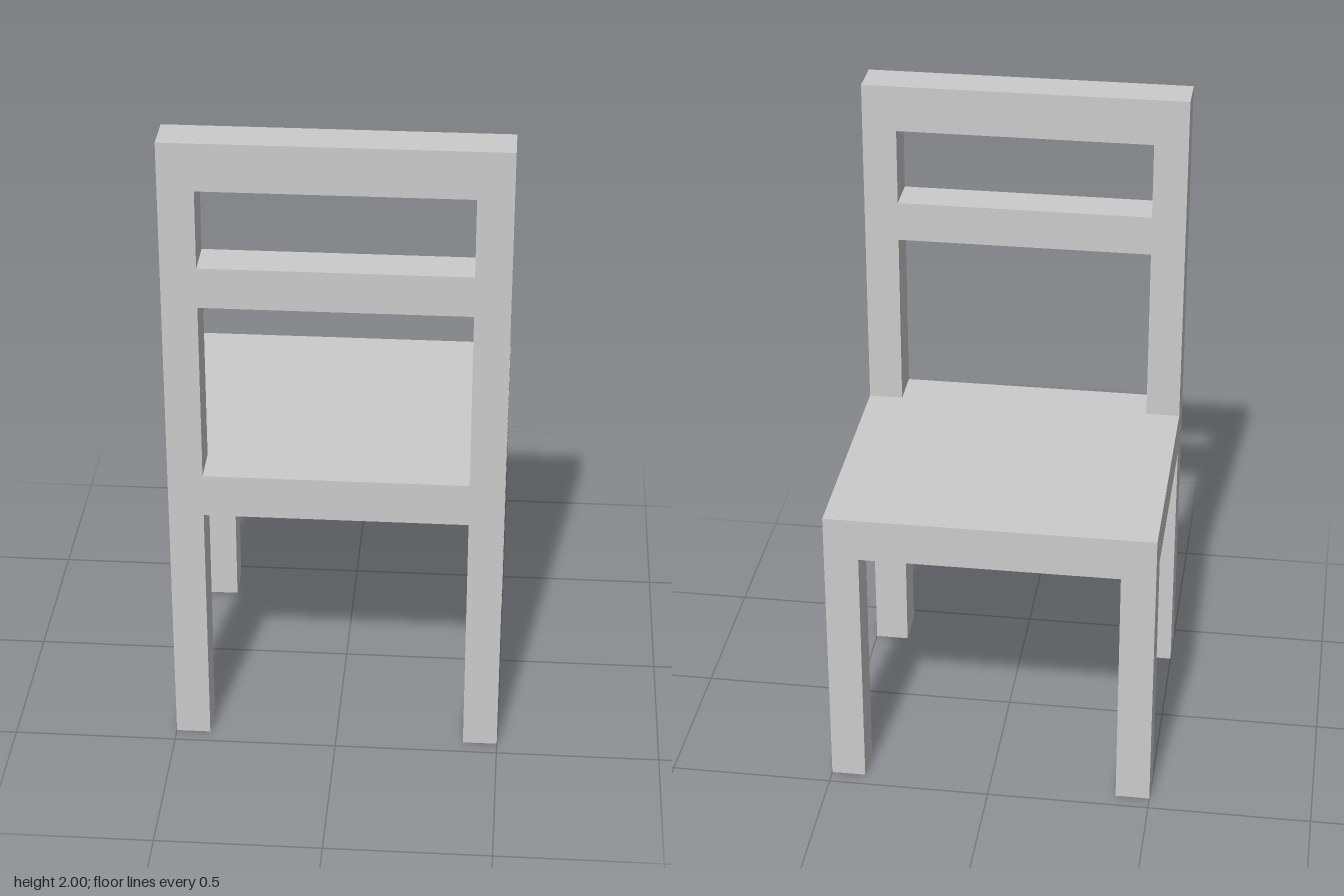
import * as THREE from 'three';

// Main dimensions
const W = 0.5, D = 0.453;             // half width, half depth
const INNER = 0.395;                  // inner x of legs and posts
const Z_BACK = 0.325, Z_FRONT = -0.335; // inner z of the leg pairs
const SEAT = 0.93, APRON = 0.795, TOP = 2;

const material = new THREE.MeshStandardMaterial({
  color: 0xcccccc, flatShading: true, side: THREE.DoubleSide,
});

function addPart(parent, name, geometry) {
  const mesh = new THREE.Mesh(geometry, material);
  mesh.name = name;
  parent.add(mesh);
  return mesh;
}

// Hollow square leg, open at the floor and under the seat
function legGeometry(x0, x1, z0, z1) {
  const g = new THREE.BoxGeometry(x1 - x0, SEAT, z1 - z0);
  const index = Array.from(g.index.array);
  index.splice(12, 12); // drop top and bottom faces
  g.setIndex(index);
  g.clearGroups();
  return g.translate((x0 + x1) / 2, SEAT / 2, (z0 + z1) / 2);
}

// Closed rectangle in the xy plane
function rectangle(Type, x0, y0, x1, y1) {
  return new Type([[x0, y0], [x1, y0], [x1, y1], [x0, y1]].map(([x, y]) => new THREE.Vector2(x, y)));
}

export function createModel() {
  const chair = new THREE.Group();
  chair.name = 'chair';

  // Seat: thin top sheet
  addPart(chair, 'seatTop', new THREE.PlaneGeometry(2 * W, 2 * D)
    .rotateX(-Math.PI / 2).translate(0, SEAT, 0));

  // Thin apron panels between the legs
  const apronH = SEAT - APRON, apronY = (SEAT + APRON) / 2;
  for (const s of [1, -1]) {
    addPart(chair, s > 0 ? 'backrestSideApron' : 'openSideApron',
      new THREE.PlaneGeometry(2 * INNER, apronH)
        .rotateY(s > 0 ? 0 : Math.PI).translate(0, apronY, s * D));
    addPart(chair, s > 0 ? 'leftApron' : 'rightApron',
      new THREE.PlaneGeometry(Z_BACK - Z_FRONT, apronH)
        .rotateY(s * Math.PI / 2).translate(s * W, apronY, (Z_BACK + Z_FRONT) / 2));
  }

  // Four hollow legs
  for (const s of [1, -1]) {
    const [x0, x1] = s > 0 ? [INNER, W] : [-W, -INNER];
    const side = s > 0 ? 'left' : 'right';
    addPart(chair, side + 'BackrestLeg', legGeometry(x0, x1, Z_BACK, D));
    addPart(chair, side + 'SeatLeg', legGeometry(x0, x1, -D, Z_FRONT));
  }

  // Backrest: two posts, a middle slat and a top rail in one frame
  const frame = new THREE.Shape([
    [-W, SEAT], [-INNER, SEAT], [-INNER, 1.49], [INNER, 1.49],
    [INNER, SEAT], [W, SEAT], [W, TOP], [-W, TOP],
  ].map(([x, y]) => new THREE.Vector2(x, y)));
  frame.holes.push(rectangle(THREE.Path, -INNER, 1.615, INNER, 1.855));
  addPart(chair, 'backrest', new THREE.ExtrudeGeometry(frame, {
    depth: D - Z_BACK, bevelEnabled: false,
  }).translate(0, 0, Z_BACK));

  return chair;
}
